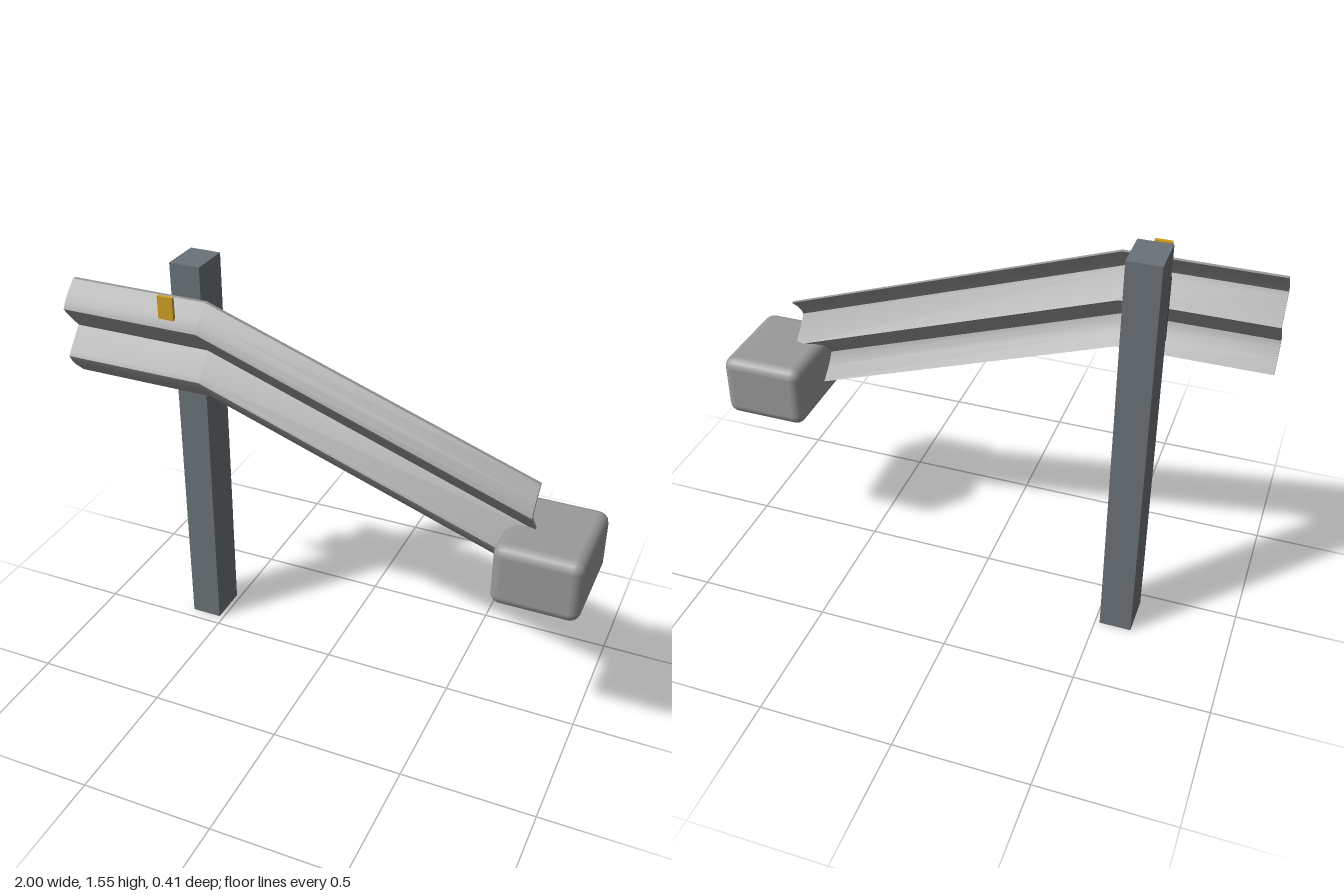
import * as THREE from 'three';
import { RoundedBoxGeometry } from 'three/addons/geometries/RoundedBoxGeometry.js';
import { toCreasedNormals } from 'three/addons/utils/BufferGeometryUtils.js';

const material = (name, color) => {
  const m = new THREE.MeshStandardMaterial({ color });
  m.name = name;
  return m;
};

// Two-ridged sheet profile swept along the rail, level first and then sloping down
function railGeometry() {
  const mid = 1.276, thickness = 0.015;
  // upper half of the front face: [z, height above the valley]
  const half = [[0.037, 0.184], [0.08, 0.144], [0.103, 0.116], [0.115, 0.094], [0.106, 0.08]];
  const front = [
    ...half.map(([z, y]) => [z, mid + y]),
    [0.036, mid],
    ...half.slice().reverse().map(([z, y]) => [z, mid - y]),
  ];
  const back = front.map(([z, y]) => [z - thickness, y]).reverse();
  const shape = new THREE.Shape([...front, ...back].map(([z, y]) => new THREE.Vector2(z, y)));

  // stations along the rail: [x, drop]
  const stations = [[0.79, 0.435], [-0.455, 0], [-1, 0]];
  const geometry = new THREE.ExtrudeGeometry(shape, { depth: 2, steps: 2, bevelEnabled: false });
  const p = geometry.attributes.position;
  for (let i = 0; i < p.count; i++) {
    const [x, drop] = stations[Math.round(p.getZ(i))];
    p.setXYZ(i, x, p.getY(i) - drop, p.getX(i));
  }
  return toCreasedNormals(geometry, 0.3);
}

export function createModel() {
  const group = new THREE.Group();
  group.name = 'guardrailEnd';

  const steel = material('galvanisedSteel', 0x9a9a9a);
  const postGrey = material('postGrey', 0x6b7378);
  const dark = material('darkSpacer', 0x444248);
  const amber = material('amberReflector', 0xd0a020);

  const add = (name, geometry, mat, x = 0, y = 0, z = 0) => {
    const mesh = new THREE.Mesh(geometry, mat);
    mesh.name = name;
    mesh.position.set(x, y, z);
    group.add(mesh);
  };

  // Support post and the spacer block that carries the rail
  add('post', new THREE.BoxGeometry(0.12, 1.55, 0.158), postGrey, -0.578, 0.775, -0.123);
  add('spacerBlock', new THREE.BoxGeometry(0.1, 0.243, 0.07), dark, -0.578, 1.274, -0.01);

  // Corrugated rail
  add('rail', railGeometry(), steel);

  // Rounded terminal at the low end
  add('endTerminal', new RoundedBoxGeometry(0.318, 0.243, 0.387, 2, 0.04), steel, 0.8425, 0.73, 0.01);

  // Small reflector plate on the top ridge
  add('reflector', new THREE.BoxGeometry(0.06, 0.086, 0.013), amber, -0.578, 1.443, 0.097);

  return group;
}
